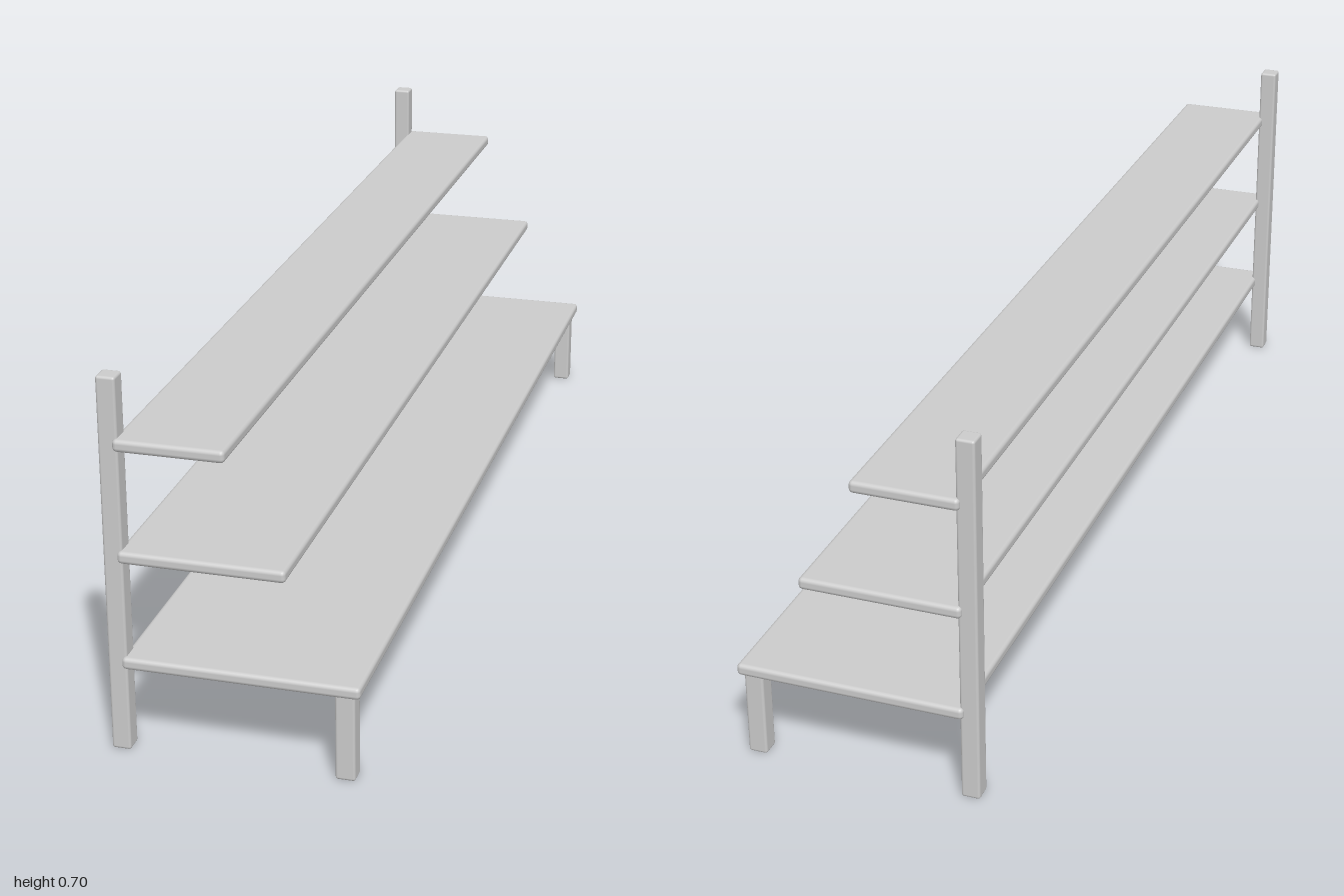
import * as THREE from 'three';
import { RoundedBoxGeometry } from 'three/addons/geometries/RoundedBoxGeometry.js';

const material = new THREE.MeshStandardMaterial({ color: 0xcccccc });

// Soft-edged box given by its lower and upper corners
function softBox(name, [x0, y0, z0], [x1, y1, z1], radius) {
  const geometry = new RoundedBoxGeometry(x1 - x0, y1 - y0, z1 - z0, 2, radius);
  const mesh = new THREE.Mesh(geometry, material);
  mesh.position.set((x0 + x1) / 2, (y0 + y1) / 2, (z0 + z1) / 2);
  mesh.name = name;
  return mesh;
}

export function createModel() {
  const model = new THREE.Group();
  model.name = 'tieredShelf';

  // Three shelves sharing a back edge, deeper towards the bottom
  const shelves = [
    ['bottomShelf', 0.163, 0.228],
    ['middleShelf', 0.366, 0.099],
    ['topShelf', 0.573, -0.003],
  ];
  for (const [name, y, frontEdge] of shelves) {
    model.add(softBox(name, [-0.201, y, -1], [frontEdge, y + 0.023, 1], 0.008));
  }

  // Tall back posts and short front legs at both ends
  for (const [end, z] of [['Left', -0.974], ['Right', 0.974]]) {
    const z0 = z - 0.018, z1 = z + 0.018;
    model.add(softBox('backPost' + end, [-0.228, 0, z0], [-0.193, 0.705, z1], 0.005));
    model.add(softBox('frontLeg' + end, [0.181, 0, z0], [0.217, 0.17, z1], 0.005));
  }
  return model;
}
